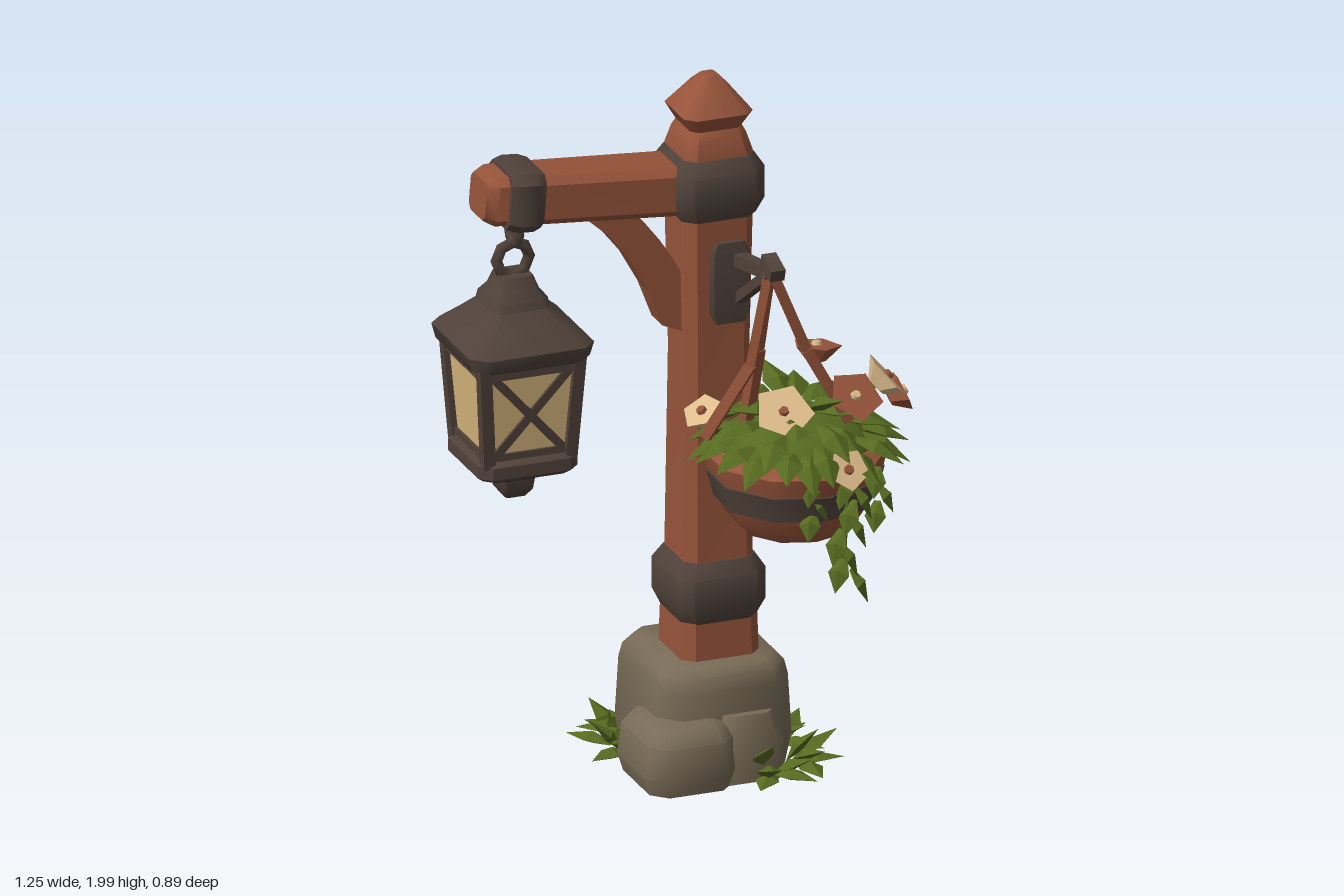
import * as THREE from 'three';
import { toCreasedNormals, mergeGeometries } from 'three/addons/utils/BufferGeometryUtils.js';

const paint = (name, color, side = THREE.FrontSide) => {
  const m = new THREE.MeshStandardMaterial({ color, side });
  m.name = name;
  return m;
};

export function createModel() {
  const root = new THREE.Group();
  const wood = paint('wood', 0x96543a), iron = paint('iron', 0x50423a), stone = paint('stone', 0x786b56);
  const leafGreen = paint('leaf', 0x566a20, THREE.DoubleSide), cream = paint('cream', 0xdcbc8c);
  const glass = paint('lamp glass', 0xd6b57c);
  let seed = 7;
  const rnd = () => (seed = (seed * 16807) % 2147483647) / 2147483647;
  const V = (x, y, z) => new THREE.Vector3(x, y, z);
  const UP = V(0, 1, 0);

  const add = (name, geo, mat, x = 0, y = 0, z = 0, parent = root) => {
    const m = new THREE.Mesh(geo, mat);
    m.name = name;
    m.position.set(x, y, z);
    parent.add(m);
    return m;
  };

  // Stack of chamfered rectangles; each ring is [height, halfX, halfZ, shiftX, shiftZ]
  const loft = (rings, cut = 0.25, crease = 0.7) => {
    const pos = [];
    const pts = rings.map(([y, a, b = a, dx = 0, dz = 0]) => {
      const c = Math.min(a, b) * cut;
      return [[a, b - c], [a, c - b], [a - c, -b], [c - a, -b], [-a, c - b], [-a, b - c], [c - a, b], [a - c, b]]
        .map(([x, z]) => V(x + dx, y, z + dz));
    });
    const tri = (...t) => t.forEach(p => pos.push(p.x, p.y, p.z));
    const last = pts.length - 1;
    for (let j = 0; j < 8; j++) {
      const k = (j + 1) % 8;
      for (let i = 0; i < last; i++) {
        tri(pts[i][j], pts[i][k], pts[i + 1][k]);
        tri(pts[i][j], pts[i + 1][k], pts[i + 1][j]);
      }
      const mid = r => r[0].clone().add(r[4]).multiplyScalar(0.5);
      tri(mid(pts[last]), pts[last][j], pts[last][k]);
      tri(mid(pts[0]), pts[0][k], pts[0][j]);
    }
    const g = new THREE.BufferGeometry();
    g.setAttribute('position', new THREE.Float32BufferAttribute(pos, 3));
    return toCreasedNormals(g, crease);
  };

  // Straight square bar between two points
  const bar = (name, p, q, w, d, mat, parent = root) => {
    const dir = q.clone().sub(p);
    const m = add(name, new THREE.BoxGeometry(w, dir.length(), d), mat, 0, 0, 0, parent);
    m.position.copy(p).lerp(q, 0.5);
    m.quaternion.setFromUnitVectors(UP, dir.normalize());
    return m;
  };

  // Folded pointed leaf, starting at p, heading yaw, raised by pitch
  const leaf = (p, yaw, pitch, len, wid) => {
    const g = new THREE.BufferGeometry();
    g.setAttribute('position', new THREE.Float32BufferAttribute([
      -wid * 0.3, 0, 0, wid * 0.3, 0, 0, -wid, 0, len * 0.5, wid, 0, len * 0.5,
      0, wid * 0.55, len * 0.45, 0, -wid * 0.4, len, 0, -wid * 0.45, len * 0.4], 3));
    g.setIndex([0, 4, 1, 0, 2, 4, 1, 4, 3, 2, 5, 4, 4, 5, 3, 0, 1, 6, 0, 6, 2, 1, 3, 6, 2, 6, 5, 6, 3, 5]);
    g.applyMatrix4(new THREE.Matrix4().makeRotationFromEuler(new THREE.Euler(-pitch, yaw, 0, 'YXZ')));
    g.translate(p.x, p.y, p.z);
    const flat = g.toNonIndexed();
    flat.computeVertexNormals();
    return flat;
  };

  // Post with carved finial
  const PX = 0.12, PZ = -0.1;
  add('post', loft([[0.28, 0.115], [0.45, 0.11], [0.62, 0.1], [1.2, 0.092], [1.62, 0.1], [1.79, 0.1],
    [1.84, 0.085], [1.86, 0.075], [1.905, 0.1], [1.975, 0.045], [2, 0.02]], 0.28), wood, PX, 0, PZ);
  for (const [name, y, h] of [['lowerBand', 0.53, 0.13], ['upperBand', 1.7, 0.128]])
    add(name, loft([[-0.09, h - 0.02], [-0.045, h], [0.045, h], [0.085, h - 0.025]], 0.3), iron, PX, y, PZ);

  // Crossbeam with its band and curved brace
  const beam = new THREE.Group();
  beam.name = 'crossbeam';
  beam.position.set(0.12, 1.685, PZ);
  beam.rotation.z = Math.PI / 2 - 0.082;
  root.add(beam);
  add('beamWood', loft([[0, 0.07, 0.088], [0.52, 0.07, 0.082], [0.64, 0.07, 0.075], [0.672, 0.055, 0.06]], 0.3),
    wood, 0, 0, 0, beam);
  add('beamBand', loft([[0.51, 0.078, 0.09], [0.535, 0.084, 0.103], [0.58, 0.084, 0.103], [0.61, 0.078, 0.09]], 0.3),
    iron, 0, 0, 0, beam);
  const brace = new THREE.Shape();
  brace.moveTo(-0.27, 1.66);
  brace.quadraticCurveTo(-0.1, 1.53, -0.03, 1.3);
  brace.lineTo(0.04, 1.27);
  brace.lineTo(0.04, 1.42);
  brace.quadraticCurveTo(-0.03, 1.56, -0.13, 1.66);
  add('brace', new THREE.ExtrudeGeometry(brace, { depth: 0.08, bevelEnabled: false, curveSegments: 4 }),
    wood, 0, 0, PZ - 0.04);

  // Lantern
  const lamp = new THREE.Group();
  lamp.name = 'lantern';
  lamp.position.set(-0.437, 0, -0.13);
  root.add(lamp);
  const link = add('hangerLink', new THREE.TorusGeometry(0.035, 0.015, 5, 8), iron, 0, 1.615, 0.01, lamp);
  link.rotation.y = Math.PI / 2;
  add('hangerRing', new THREE.TorusGeometry(0.048, 0.017, 5, 8), iron, 0, 1.53, 0, lamp);
  add('lanternRoof', loft([[1.262, 0.15], [1.275, 0.172], [1.315, 0.181], [1.36, 0.13], [1.405, 0.083],
    [1.43, 0.078], [1.455, 0.058], [1.49, 0.045]], 0.22, 0.85), iron, 0, 0, 0, lamp);
  add('lanternGlass', loft([[0.98, 0.117], [1.27, 0.139]], 0.06), glass, 0, 0, 0, lamp);
  add('lanternBase', loft([[0.845, 0.03], [0.865, 0.045], [0.9, 0.05], [0.915, 0.07], [0.935, 0.125], [0.95, 0.144],
    [0.985, 0.144], [1, 0.125]], 0.22), iron, 0, 0, 0, lamp);
  for (const a of [1, -1]) for (const b of [1, -1])
    bar('cornerPost', V(a * 0.118, 0.98, b * 0.118), V(a * 0.138, 1.28, b * 0.138), 0.034, 0.034, iron, lamp);
  for (const s of [1, -1]) {
    for (const a of [1, -1])
      bar('crossBar', V(a * 0.108, 1, s * 0.12), V(-a * 0.122, 1.26, s * 0.14), 0.024, 0.014, iron, lamp);
    for (const [y, o] of [[1.005, 0.12], [1.252, 0.139]]) {
      bar('frameRail', V(-o, y, s * o), V(o, y, s * o), 0.024, 0.016, iron, lamp);
      bar('frameRail', V(s * o, y, -o), V(s * o, y, o), 0.016, 0.024, iron, lamp);
    }
  }

  // Hook brackets on front and back of the post
  const HX = 0.165;
  for (const [s, face, tip] of [[1, 0, 0.28], [-1, -0.2, -0.41]]) {
    add('bracketPlate', loft([[1.31, 0.04, 0.016], [1.34, 0.055, 0.02], [1.51, 0.055, 0.02], [1.545, 0.04, 0.016]]),
      iron, 0.14, 0, face);
    bar('bracketArm', V(HX, 1.49, face), V(HX, s > 0 ? 1.535 : 1.485, tip - s * 0.06), 0.036, 0.036, iron);
    bar('bracketStrut', V(HX, 1.37, face), V(HX, 1.5, tip - s * 0.09), 0.028, 0.028, iron);
    bar('hookRise', V(HX, s > 0 ? 1.52 : 1.475, tip - s * 0.07), V(HX, 1.565, tip), 0.038, 0.034, iron);
    bar('hookTip', V(HX, 1.575, tip - s * 0.055), V(HX, 1.55, tip + s * 0.018), 0.042, 0.036, iron);
  }

  // Hanging basket: bowl, band and straps
  const BX = 0.27, BZ = 0.16;
  const turn = pts => toCreasedNormals(
    new THREE.LatheGeometry(pts.map(([r, y]) => new THREE.Vector2(r, y)), 10), 0.75);
  add('bowl', turn([[0, 0.765], [0.155, 0.765], [0.195, 0.81], [0.22, 0.88], [0.24, 0.93], [0.25, 0.98],
    [0.22, 1.0], [0, 1.0]]), wood, BX, 0, BZ);
  add('bowlBand', turn([[0.2, 0.85], [0.222, 0.85], [0.242, 0.925], [0.22, 0.935]]), iron, BX, 0, BZ);
  const knot = V(HX, 1.555, 0.24);
  for (const [mid, end] of [[V(0.115, 1.27, 0.225), V(0, 1.06, 0.18)], [V(0.27, 1.3, 0.24), V(0.39, 1.08, 0.25)],
    [V(0.15, 1.3, 0.19), V(0.14, 1.05, 0.12)]]) {
    bar('strap', knot, mid, 0.025, 0.025, wood);
    bar('strap', mid, end, 0.03, 0.03, wood);
  }

  // Basket foliage in drooping rings over a mound, plus a trailing vine
  add('foliageMound', new THREE.SphereGeometry(0.215, 10, 5, 0, Math.PI * 2, 0, Math.PI / 2)
    .scale(1, 0.5, 1), leafGreen, BX, 0.985, BZ);
  const leaves = [];
  for (const [n, r, y, pitch, len] of [[20, 0.17, 1.03, -0.35, 0.15], [16, 0.12, 1.075, -0.05, 0.15],
    [10, 0.05, 1.09, 0.25, 0.14]])
    for (let i = 0; i < n; i++) {
      const a = (i + rnd() * 0.6) / n * Math.PI * 2;
      leaves.push(leaf(V(BX + r * Math.sin(a), y + rnd() * 0.02, BZ + r * Math.cos(a)), a,
        pitch + (rnd() - 0.5) * 0.6, len * (0.85 + rnd() * 0.35), 0.04));
    }
  for (let i = 0; i < 8; i++) {
    const t = i / 7, side = i % 2 ? 1 : -1;
    leaves.push(leaf(V(0.34 + 0.02 * Math.sin(i), 0.98 - 0.29 * t, 0.375 - 0.02 * t), side * 0.9, -0.95, 0.105, 0.033));
  }
  for (const x of [0.24, 0.43]) for (let i = 0; i < 3; i++)
    leaves.push(leaf(V(x, 0.98 - i * 0.05, 0.36), i % 2 ? 0.8 : -0.6, -0.9, 0.09, 0.03));
  add('basketLeaves', mergeGeometries(leaves), leafGreen);
  bar('vineStem', V(0.34, 1, 0.375), V(0.33, 0.67, 0.355), 0.012, 0.012, leafGreen);

  // Flowers: position, facing direction, radius, petal colour
  const flowers = [
    [V(0.19, 1.13, 0.27), V(-0.1, 0.75, 0.65), 0.085, cream], [V(0.33, 0.99, 0.385), V(0, 0.5, 0.85), 0.06, cream],
    [V(0.54, 1.12, 0.11), V(0.75, 0.65, 0.1), 0.078, cream], [V(0.02, 1.1, 0.13), V(-0.5, 0.8, 0.2), 0.06, cream],
    [V(0.39, 1.15, 0.28), V(0.1, 0.75, 0.65), 0.08, wood], [V(0.385, 1.19, 0.02), V(0.1, 0.95, -0.1), 0.07, wood],
    [V(0.585, 1.07, 0.1), V(0.9, 0.4, 0.1), 0.06, wood]];
  for (const [p, n, r, mat] of flowers) {
    const f = new THREE.Group();
    f.name = 'flower';
    f.position.copy(p);
    f.quaternion.setFromUnitVectors(UP, n.normalize());
    root.add(f);
    const petals = toCreasedNormals(new THREE.CylinderGeometry(r, r * 0.4, 0.045, 10), 0.3);
    const at = petals.attributes.position;
    for (let i = 0; i < at.count; i++) {
      const notch = Math.cos(5 * Math.atan2(at.getX(i), at.getZ(i))) * 0.1 + 0.9;
      at.setXYZ(i, at.getX(i) * notch, at.getY(i), at.getZ(i) * notch);
    }
    petals.computeVertexNormals();
    petals.clearGroups();
    add('petals', petals, mat, 0, 0, 0, f);
    add('flowerCentre', new THREE.CylinderGeometry(0.012, 0.016, 0.012, 6), mat === cream ? wood : cream, 0, 0.027, 0, f);
  }

  // Foundation stones
  add('mainStone', loft([[0.01, 0.185, 0.19], [0.1, 0.2, 0.205], [0.27, 0.19, 0.2], [0.31, 0.182, 0.19],
    [0.335, 0.16, 0.165]], 0.3, 0.85), stone, 0.11, 0, -0.115);
  add('sideStone', loft([[0.01, 0.12, 0.14], [0.06, 0.135, 0.15], [0.15, 0.125, 0.145], [0.185, 0.1, 0.12],
    [0.198, 0.07, 0.09]], 0.35, 0.85), stone, -0.015, 0, 0.015);
  add('frontStone', loft([[0.01, 0.1, 0.08], [0.12, 0.1, 0.08], [0.2, 0.07, 0.06]], 0.35, 0.85), stone, 0.16, 0, 0.05);

  // Grass tufts around the stones: x, z, heading
  const grass = [];
  for (const [x, z, yaw] of [[-0.07, -0.29, -2.5], [0.11, -0.31, 3.1], [-0.09, -0.19, -1.6], [0.29, -0.28, 2.3],
    [0.3, -0.08, 1.5], [0.29, 0.06, 0.9], [0.19, 0.12, 0.2]])
    for (let i = 0; i < 5; i++)
      grass.push(leaf(V(x + (rnd() - 0.5) * 0.06, 0.03, z + (rnd() - 0.5) * 0.06), yaw + (i - 2) * 0.42,
        0.15 + (i % 3) * 0.4, 0.11 + rnd() * 0.05, 0.034));
  add('grass', mergeGeometries(grass), leafGreen);
  return root;
}
